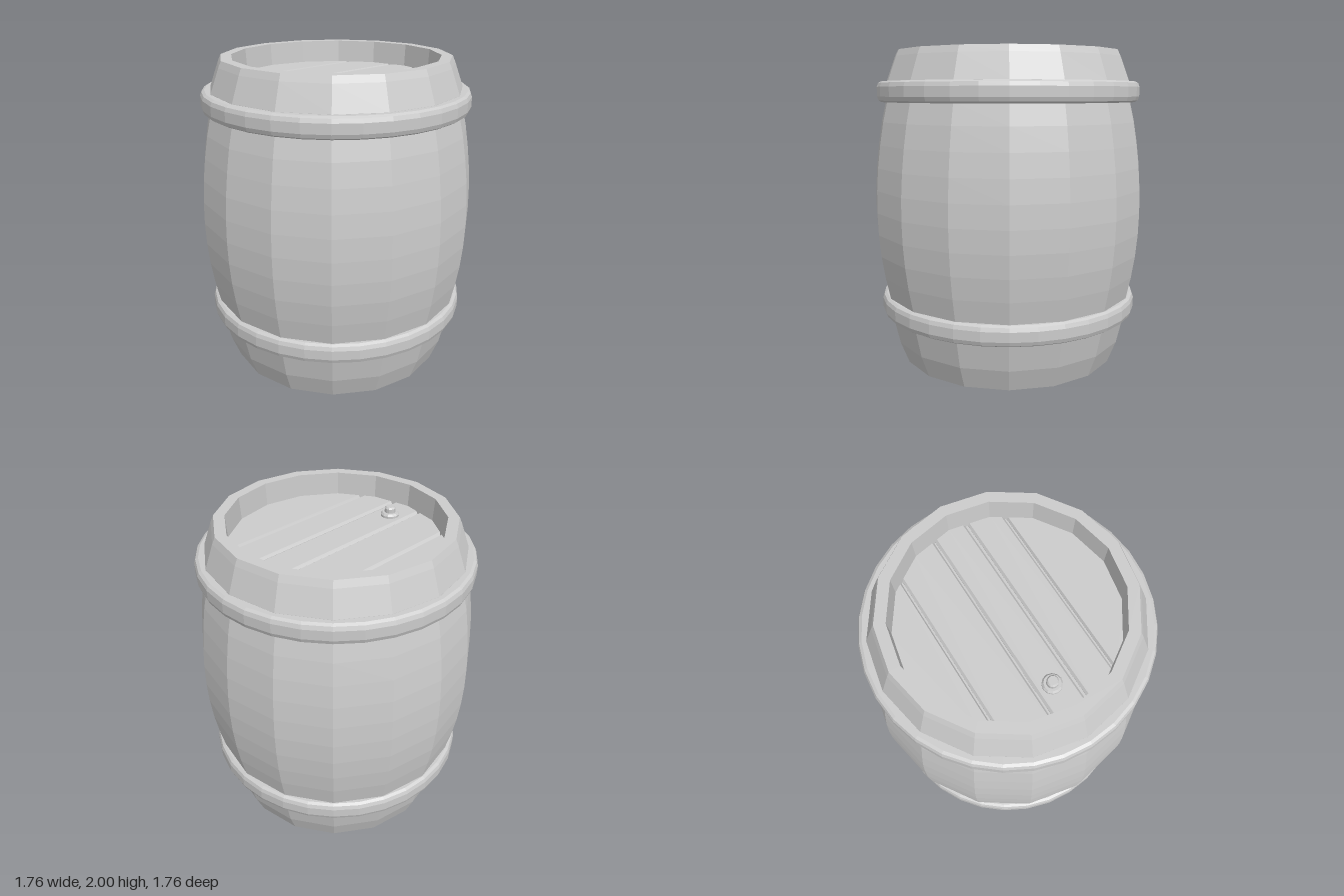
import * as THREE from 'three';

const SIDES = 16;
const LID_R = 0.67;

function material() {
  return new THREE.MeshStandardMaterial({ color: 0xcccccc, flatShading: true });
}

// Revolve [radius, y] points, listed so that the surface faces outwards
function revolve(name, points, sides = SIDES) {
  const profile = points.map(([r, y]) => new THREE.Vector2(r, y));
  const mesh = new THREE.Mesh(new THREE.LatheGeometry(profile, sides), material());
  mesh.name = name;
  return mesh;
}

// Half depth of the lid polygon at a given x
function halfDepth(x) {
  const step = (Math.PI * 2) / SIDES;
  const i = Math.floor(Math.acos(Math.abs(x) / LID_R) / step);
  const x0 = LID_R * Math.cos(i * step), z0 = LID_R * Math.sin(i * step);
  const x1 = LID_R * Math.cos((i + 1) * step), z1 = LID_R * Math.sin((i + 1) * step);
  return z0 + ((z1 - z0) * (x0 - Math.abs(x))) / (x0 - x1);
}

// Bevelled planks cut to the round outline, lying on a backing disc
function createLid(name, y) {
  const lid = new THREE.Group();
  lid.name = name;
  lid.position.y = y;
  const backing = new THREE.Mesh(new THREE.CylinderGeometry(LID_R, LID_R, 0.04, SIDES), material());
  backing.name = 'lidBacking';
  backing.position.y = -0.038;
  lid.add(backing);

  const bevel = 0.013;
  const rim = LID_R - 0.001;
  const edges = [[-rim, -0.398], [-0.388, -0.113], [-0.103, 0.098], [0.112, 0.317], [0.327, rim]];
  for (const [x0, x1] of edges) {
    const xs = [x0];
    for (let i = 7; i > 0; i--) {
      const x = LID_R * Math.cos((i * Math.PI * 2) / SIDES);
      if (x > x0 + 0.001 && x < x1 - 0.001) xs.push(x);
    }
    xs.push(x1);
    const outline = [
      ...xs.map((x) => new THREE.Vector2(x, -halfDepth(x))),
      ...xs.reverse().map((x) => new THREE.Vector2(x, halfDepth(x))),
    ];
    const geometry = new THREE.ExtrudeGeometry(new THREE.Shape(outline), {
      depth: 0.01, bevelSize: bevel, bevelOffset: -bevel, bevelThickness: 0.016, bevelSegments: 1,
    });
    geometry.rotateX(-Math.PI / 2);
    const plank = new THREE.Mesh(geometry, material());
    plank.name = 'plank';
    plank.position.y = -0.026;
    lid.add(plank);
  }
  return lid;
}

export function createModel() {
  const barrel = new THREE.Group();
  barrel.name = 'barrel';

  // Bulging body with a recessed rim at both ends
  barrel.add(revolve('body', [
    [0.64, 0.15], [0.65, 0], [0.7, 0], [0.755, 0.14], [0.797, 0.32], [0.81, 0.44],
    [0.84, 0.58], [0.862, 0.72], [0.875, 0.86], [0.88, 1], [0.877, 1.14], [0.867, 1.28],
    [0.85, 1.42], [0.827, 1.56], [0.797, 1.69], [0.79, 1.81], [0.735, 1.96], [0.717, 2],
    [0.65, 2], [0.64, 1.83],
  ]));

  // Rounded hoops, rounder than the body
  for (const [name, y] of [['lowerHoop', 0.378], ['upperHoop', 1.745]]) {
    const hoop = revolve(name, [
      [0.76, -0.064], [0.815, -0.064], [0.832, -0.054], [0.841, -0.03],
      [0.841, 0.03], [0.832, 0.054], [0.815, 0.064], [0.76, 0.064],
    ], 32);
    hoop.position.y = y;
    barrel.add(hoop);
  }

  // Planked ends
  const topLid = createLid('topLid', 1.86);
  const bottomLid = createLid('bottomLid', 0.12);
  bottomLid.rotation.z = Math.PI;
  barrel.add(topLid, bottomLid);

  // Bung with a collar
  const bung = revolve('bung', [
    [0.058, -0.01], [0.058, 0.012], [0.048, 0.024], [0.034, 0.024],
    [0.034, 0.05], [0.026, 0.06], [0, 0.06],
  ], 12);
  bung.position.set(-0.01, 1.86, 0.46);
  barrel.add(bung);

  return barrel;
}
